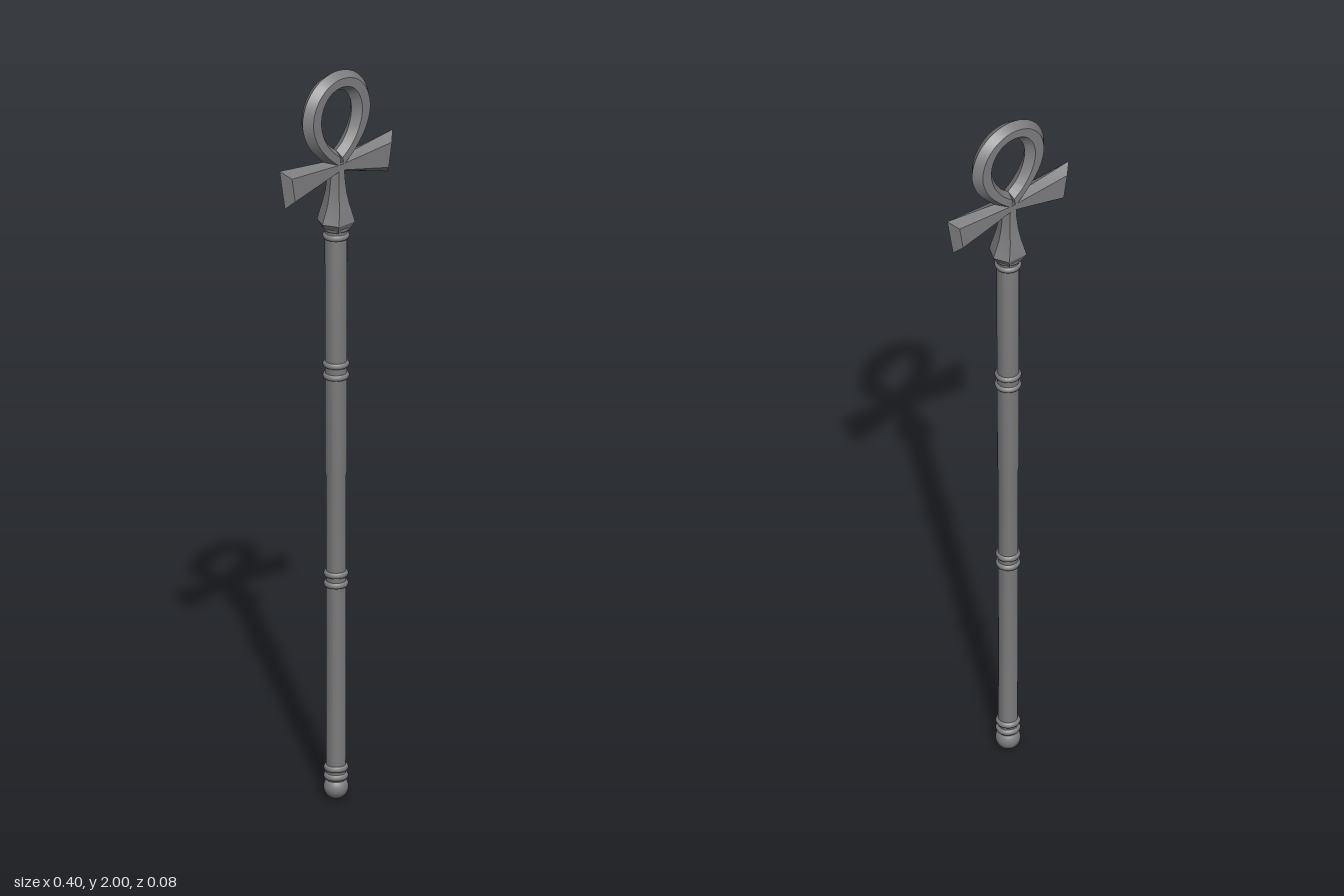
import * as THREE from 'three';
import { toCreasedNormals } from 'three/addons/utils/BufferGeometryUtils.js';

const V = (x, y, z = 0) => new THREE.Vector3(x, y, z);

// Skins a row of equal-sized cross-sections, closes both ends, faces outward
function loft(rings) {
  const tris = [], n = rings[0].length;
  for (let k = 0; k < rings.length - 1; k++) {
    const a = rings[k], b = rings[k + 1];
    for (let i = 0; i < n; i++) {
      const j = (i + 1) % n;
      tris.push([a[i], a[j], b[j]], [a[i], b[j], b[i]]);
    }
  }
  const first = rings[0], last = rings[rings.length - 1];
  for (let i = 1; i < n - 1; i++) {
    tris.push([first[0], first[i + 1], first[i]], [last[0], last[i], last[i + 1]]);
  }
  const volume = tris.reduce((s, [a, b, c]) => s + a.dot(V(0, 0).crossVectors(b, c)), 0);
  const points = tris.flatMap(([a, b, c]) => (volume < 0 ? [a, c, b] : [a, b, c]));
  return toCreasedNormals(new THREE.BufferGeometry().setFromPoints(points), 0.5);
}

// Six-sided section: sharp edges p and q at z = 0, flat faces at +-t.
// "inset" is the bevel as a fraction of the width; "shift" slides the flat faces in x.
function section(p, q, t, inset, shift = 0) {
  const at = (f, z) => p.clone().lerp(q, f).add(V(shift, 0, z));
  return [p, at(inset, t), at(1 - inset, t), q, at(1 - inset, -t), at(inset, -t)];
}

export function createModel() {
  const group = new THREE.Group();
  const metal = new THREE.MeshStandardMaterial({ color: 0x7e7e80 });
  metal.name = 'grey metal';
  const add = (name, geometry) => {
    const mesh = new THREE.Mesh(geometry, metal);
    mesh.name = name;
    group.add(mesh);
    return mesh;
  };
  const lathe = (pts, sides = 20) => toCreasedNormals(
    new THREE.LatheGeometry(pts.map(([r, y]) => new THREE.Vector2(r, y)), sides), 0.6);

  // Staff, slimmer in its lower half
  add('shaft', lathe([[0, 0.04], [0.025, 0.04], [0.026, 0.89], [0.028, 0.9], [0.029, 1.58], [0, 1.58]]));

  // Paired rings along the staff
  for (const [y, r] of [[0.063, 0.026], [0.086, 0.026], [0.592, 0.026], [0.62, 0.026],
    [1.165, 0.0285], [1.197, 0.0285], [1.55, 0.029], [1.573, 0.029]]) {
    const ring = add('ring', new THREE.TorusGeometry(r - 0.003, 0.009, 8, 24));
    ring.rotation.x = Math.PI / 2;
    ring.position.y = y;
  }

  // Rounded foot
  const foot = add('foot', new THREE.SphereGeometry(0.032, 24, 16));
  foot.position.y = 0.032;

  // Flared stem under the cross: [y, half width, half depth]
  add('stem', loft([[1.755, 0.014, 0.021], [1.71, 0.018, 0.0215], [1.67, 0.023, 0.025],
    [1.64, 0.029, 0.031], [1.61, 0.04, 0.037], [1.59, 0.048, 0.04], [1.565, 0.03, 0.028]]
    .map(([y, w, t]) => section(V(-w, y), V(w, y), t, 0.2))));

  // Cross arms with bevelled ends
  add('crossArms', loft([
    section(V(-0.199, 1.782), V(-0.18, 1.672), 0.022, 0.2, 0.019),
    section(V(0, 1.757), V(0, 1.727), 0.022, 0.25),
    section(V(0.199, 1.782), V(0.18, 1.672), 0.022, 0.2, -0.019),
  ]));

  // Teardrop loop between an outer and an inner edge
  const edge = (half) => new THREE.CatmullRomCurve3([
    ...half.slice(1).reverse().map(([x, y]) => V(-x, y)), ...half.map(([x, y]) => V(x, y))]);
  const outer = edge([[0, 2], [0.06, 1.984], [0.103, 1.941], [0.118, 1.882],
    [0.1, 1.825], [0.056, 1.772], [0.01, 1.732]]);
  const inner = edge([[0, 1.947], [0.03, 1.938], [0.049, 1.912], [0.054, 1.875],
    [0.044, 1.835], [0.024, 1.802], [0, 1.782]]);
  const rings = [];
  for (let i = 0; i <= 60; i++) {
    rings.push(section(outer.getPoint(i / 60), inner.getPoint(i / 60), 0.022, 0.28));
  }
  add('loop', loft(rings));

  return group;
}
